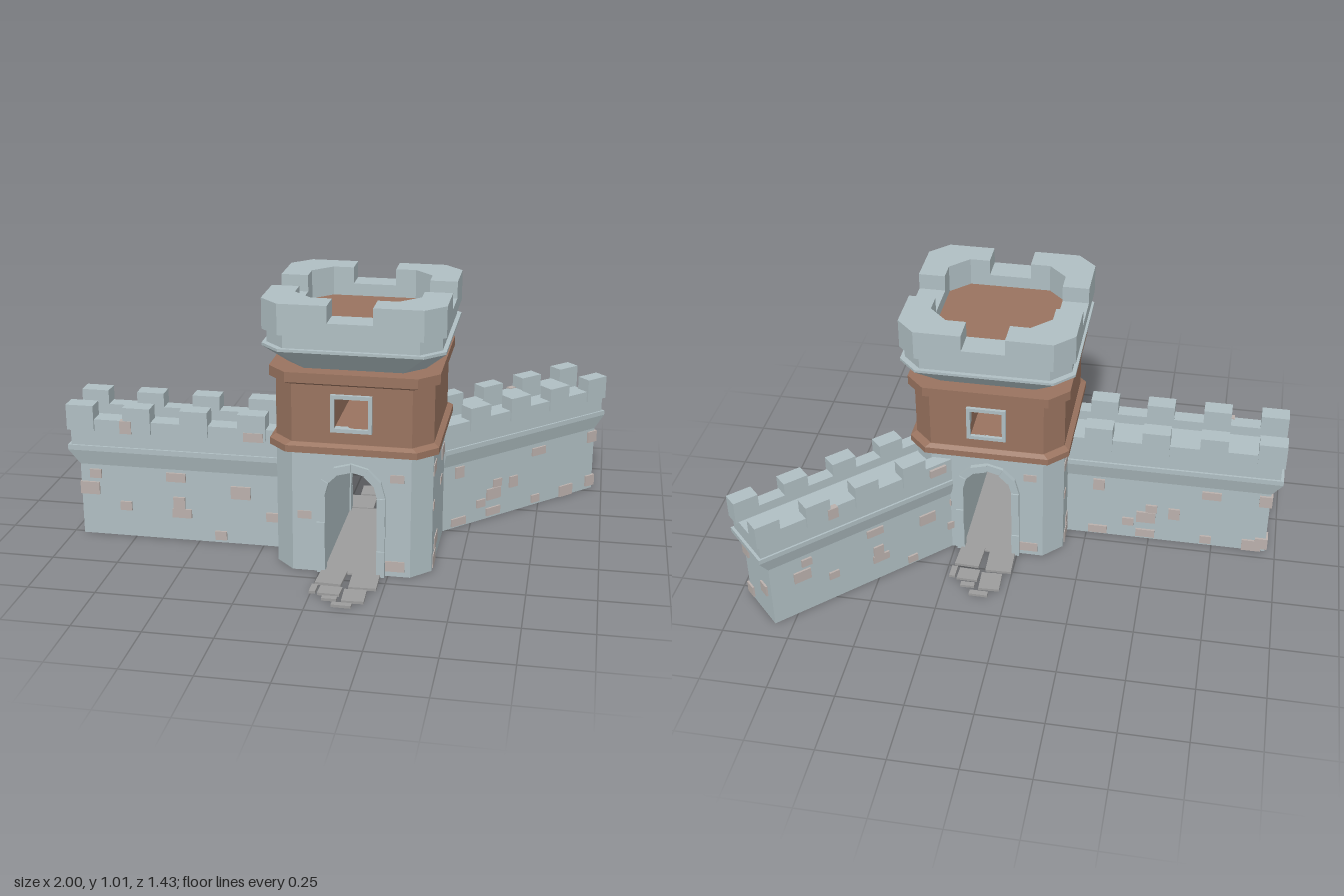
import * as THREE from 'three';

const mat = (color) => new THREE.MeshStandardMaterial({ color, flatShading: true });

export function createModel() {
  const model = new THREE.Group();
  const tower = new THREE.Group();
  tower.name = 'gateTower';
  tower.position.set(0.115, 0, 0.152);
  model.add(tower);
  const stone = mat(0xafbec2), brown = mat(0x99735f), patch = mat(0xbab0ac), paving = mat(0x9c9c9c);

  const add = (parent, name, geo, material) => {
    const m = new THREE.Mesh(geo, material);
    m.name = name;
    parent.add(m);
    return m;
  };
  const box = (parent, name, material, w, h, d, x, y, z) => {
    const m = add(parent, name, new THREE.BoxGeometry(w, h, d), material);
    m.position.set(x, y, z);
    return m;
  };
  const poly = (pts) => new THREE.Shape(pts.map(([x, y]) => new THREE.Vector2(x, y)));
  const extrude = (shape, depth) => new THREE.ExtrudeGeometry(shape, { depth, bevelEnabled: false });
  const slab = (shape, y, h) => extrude(shape, h).rotateX(-Math.PI / 2).translate(0, y, 0);

  // Closed solid through horizontal rings: [height, [[x, z], ...]]
  const loft = (rings) => {
    const pos = [], idx = [], n = rings[0][1].length, last = (rings.length - 1) * n;
    for (const [y, pts] of rings) for (const [x, z] of pts) pos.push(x, y, z);
    for (let r = 0; r < last; r += n) {
      for (let j = 0; j < n; j++) {
        const a = r + j, b = r + (j + 1) % n;
        idx.push(a, a + n, b + n, a, b + n, b);
      }
    }
    for (let j = 1; j < n - 1; j++) idx.push(0, j, j + 1, last, last + j + 1, last + j);
    const g = new THREE.BufferGeometry();
    g.setAttribute('position', new THREE.Float32BufferAttribute(pos, 3));
    g.setIndex(idx);
    const flat = g.toNonIndexed();
    flat.computeVertexNormals();
    return flat;
  };
  const C = 0.07; // corner chamfer
  const oct = (h) => {
    const k = h - C;
    return [[h, -k], [h, k], [k, h], [-k, h], [-h, k], [-h, -k], [-k, -h], [k, -h]];
  };
  const octLoft = (profile) => loft(profile.map(([y, h]) => [y, oct(h)]));

  // Tower storeys: pierced middle slice plus two chamfered flanks
  const H = 0.285, K = H - C;
  const storey = (name, material, middle, y0, y1) => {
    add(tower, name + 'Middle', extrude(middle, 2 * H).translate(0, 0, -H), material);
    const side = [[K, -H], [H, -K], [H, K], [K, H]];
    for (const a of [0, Math.PI]) {
      add(tower, name + 'Flank', loft([[y0, side], [y1, side]]), material).rotation.y = a;
    }
  };
  const spring = 0.305;
  const archPoints = (r) => {
    const p = [[r, 0], [r, 0.1], [r, 0.2]];
    for (let i = 0; i <= 6; i++) {
      const a = i * Math.PI / 6;
      p.push([r * Math.cos(a), spring + r * Math.sin(a)]);
    }
    return p.concat([[-r, 0.2], [-r, 0.1], [-r, 0]]);
  };
  storey('gateStorey', stone,
    poly([[K, 0], [K, 0.47], [-K, 0.47], [-K, 0], ...archPoints(0.1).reverse()]), 0, 0.47);
  const upper = poly([[-K, 0.47], [K, 0.47], [K, 0.76], [-K, 0.76]]);
  const W = 0.06, WB = 0.56, WT = 0.67;
  upper.holes.push(poly([[-W, WB], [-W, WT], [W, WT], [W, WB]]));
  storey('upperStorey', brown, upper, 0.47, 0.76);
  add(tower, 'lowerTrim', octLoft([[0.465, 0.305], [0.49, 0.305], [0.5, 0.287]]), brown);
  add(tower, 'upperTrim', octLoft([[0.715, 0.287], [0.725, 0.305], [0.762, 0.305]]), brown);
  box(tower, 'gateFloor', paving, 0.21, 0.006, 2 * H + 0.03, 0, 0.003, 0);

  // Door surrounds, window frames and paving on front and back
  const inner = archPoints(0.094), outer = archPoints(0.124);
  const pavers = [ // x0, z0, x1, z1
    [-0.11, 0.29, -0.015, 0.4], [0.01, 0.29, 0.11, 0.415], [-0.12, 0.412, -0.097, 0.47],
    [-0.088, 0.42, -0.008, 0.48], [0.003, 0.43, 0.083, 0.522], [-0.067, 0.495, -0.013, 0.517],
    [-0.025, 0.537, 0.046, 0.56]];
  for (const a of [0, Math.PI]) {
    const face = new THREE.Group();
    face.name = a ? 'backFace' : 'frontFace';
    face.rotation.y = a;
    tower.add(face);
    for (let i = 0; i < inner.length - 1; i++) {
      const q = poly([outer[i], outer[i + 1], inner[i + 1], inner[i]]);
      add(face, 'archStone', extrude(q, i % 2 ? 0.035 : 0.041).translate(0, 0, 0.262), stone);
    }
    const frame = poly([[-0.074, 0.546], [0.074, 0.546], [0.074, 0.684], [-0.074, 0.684]]);
    frame.holes.push(poly([[-W, WB], [-W, WT], [W, WT], [W, WB]]));
    add(face, 'windowFrame', extrude(frame, 0.03).translate(0, 0, 0.268), stone);
    pavers.forEach(([x0, z0, x1, z1], i) => {
      const p = box(face, 'pavingStone', paving, x1 - x0, 0.01, z1 - z0, (x0 + x1) / 2, 0.005, (z0 + z1) / 2);
      p.rotation.y = ((i * 5) % 7 - 3) * 0.015;
    });
    for (const [x, y, w, h] of [[0.165, 0.38, 0.05, 0.03], [-0.17, 0.22, 0.05, 0.03], [0.16, 0.04, 0.07, 0.04]]) {
      box(face, 'facingStone', patch, w, h, 0.02, x, y, H - 0.006);
    }
    // Stones on the tower flanks
    for (const [z, y, w, h] of [[0.17, 0.39, 0.08, 0.04], [-0.09, 0.355, 0.09, 0.045], [0.11, 0.08, 0.09, 0.045],
      [0.15, 0.025, 0.08, 0.05], [-0.04, 0.26, 0.05, 0.025], [0.19, 0.25, 0.04, 0.03]]) {
      box(face, 'facingStone', patch, 0.016, h, w, H - 0.005, y, z);
    }
  }

  // Flared tower crown with notched parapet and roof floor
  add(tower, 'crownFlare', octLoft([[0.76, 0.245], [0.84, 0.325], [0.85, 0.325], [0.85, 0.31], [0.9, 0.31]]), stone);
  const O = 0.325, I = 0.225, G = 0.08;
  const ring = poly(oct(O));
  ring.holes.push(poly(oct(I)));
  add(tower, 'parapetRing', slab(ring, 0.9, 0.05), stone);
  const corner = poly([[G, O], [G, I], [I - C, I], [I, I - C], [I, G], [O, G], [O, O - C], [O - C, O]]);
  for (let i = 0; i < 4; i++) {
    add(tower, 'cornerMerlon', slab(corner, 0.95, 0.062), stone).rotation.y = i * Math.PI / 2;
  }
  add(tower, 'roofFloor', octLoft([[0.895, I + 0.01], [0.904, I + 0.01]]), brown);

  // Curtain wall running outwards along local +x, flaring most at its end
  const HW = 0.125;
  const makeWall = (name, x0, end, angle, scale, stones) => {
    const wall = new THREE.Group();
    wall.name = name;
    wall.rotation.y = angle;
    wall.scale.setScalar(scale);
    tower.add(wall);
    const rect = (e, s) => [[end - e, s - HW], [end - e, HW - s], [x0, HW - s], [x0, s - HW]];
    const profile = [[0, 0.04, 0.016], [0.285, 0.04, 0.016], [0.345, 0, 0], [0.365, 0, 0],
      [0.365, 0.012, 0.008], [0.43, 0.012, 0.008]];
    add(wall, 'wallBody', loft(profile.map(([y, e, s]) => [y, rect(e, s)])), stone);
    for (const s of [-1, 1]) {
      const x1 = end - 0.012;
      box(wall, 'parapet', stone, x1 - x0, 0.042, 0.057, (x0 + x1) / 2, 0.449, s * 0.0885);
      for (let i = 0; i < 4; i++) {
        box(wall, 'merlon', stone, 0.106, 0.1, 0.065, end - 0.053 - 0.22 * i, 0.475, s * 0.0925);
      }
      stones[s < 0 ? 0 : 1].forEach(([x, y], i) => {
        const z = HW - (y > 0.37 ? 0.009 : 0.02);
        box(wall, 'facingStone', patch, 0.045 + 0.03 * (i % 2), i % 3 ? 0.035 : 0.05, 0.025, x, Math.max(y, 0.026), s * z);
      });
    }
    // Stones on the end face, two of them wrapping a corner
    for (const [z, y] of [[0.093, 0.04], [-0.05, 0.15], [0.093, 0.25]]) {
      box(wall, 'endStone', patch, 0.05, 0.05, 0.05, end - 0.057, y, z);
    }
  };
  const clustered = [[0.41, 0.25], [0.41, 0.025], [0.53, 0.08], [0.6, 0.11], [0.62, 0.155], [0.6, 0.03],
    [0.71, 0.14], [0.85, 0.25], [0.84, 0.03], [1.02, 0.02]];
  const scattered = [[0.885, 0.448], [0.395, 0.44], [1.015, 0.25], [1.04, 0.19], [0.9, 0.125], [0.68, 0.11],
    [0.69, 0.15], [0.7, 0.255], [0.33, 0.12], [0.45, 0.21], [0.53, 0.03]];
  makeWall('rightHandWall', 0.27, 1.115, Math.PI, 1, [scattered, clustered]);
  makeWall('leftHandWall', 0.326, 1.22, 0.778, 0.92, [scattered, clustered]);
  return model;
}
